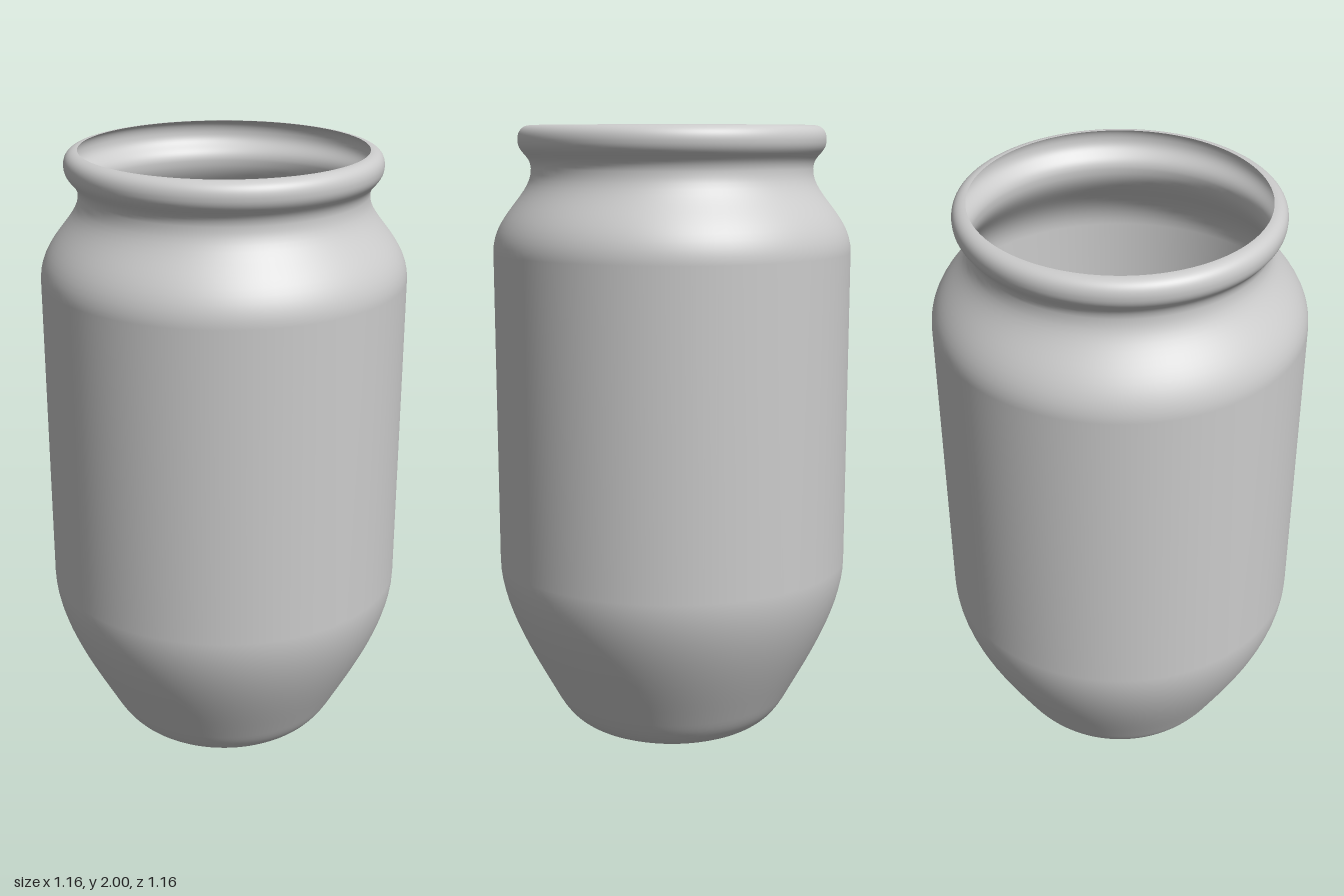
import * as THREE from 'three';

export function createModel() {
  const group = new THREE.Group();
  group.name = 'jar';

  // Wall outline: x = radius, y = height
  const outline = new THREE.Path();
  outline.moveTo(0, 0);
  outline.lineTo(0.2, 0);                                            // flat base
  outline.bezierCurveTo(0.32, 0, 0.36, 0.045, 0.4, 0.12);            // rounded foot
  outline.bezierCurveTo(0.47, 0.25, 0.578, 0.43, 0.578, 0.58);       // tapered lower body
  outline.lineTo(0.578, 1.6);                                        // straight body
  outline.bezierCurveTo(0.578, 1.72, 0.45, 1.78, 0.453, 1.865);      // shoulder and neck
  outline.bezierCurveTo(0.455, 1.91, 0.494, 1.91, 0.494, 1.955);     // underside of the lip
  outline.bezierCurveTo(0.494, 1.985, 0.475, 2.0, 0.45, 2.0);        // rolled lip

  // Thin open shell, seen from inside and outside
  const jar = new THREE.Mesh(
    new THREE.LatheGeometry(outline.getPoints(14), 96),
    new THREE.MeshStandardMaterial({ color: 0xcccccc, side: THREE.DoubleSide })
  );
  jar.name = 'jarShell';
  group.add(jar);

  return group;
}
